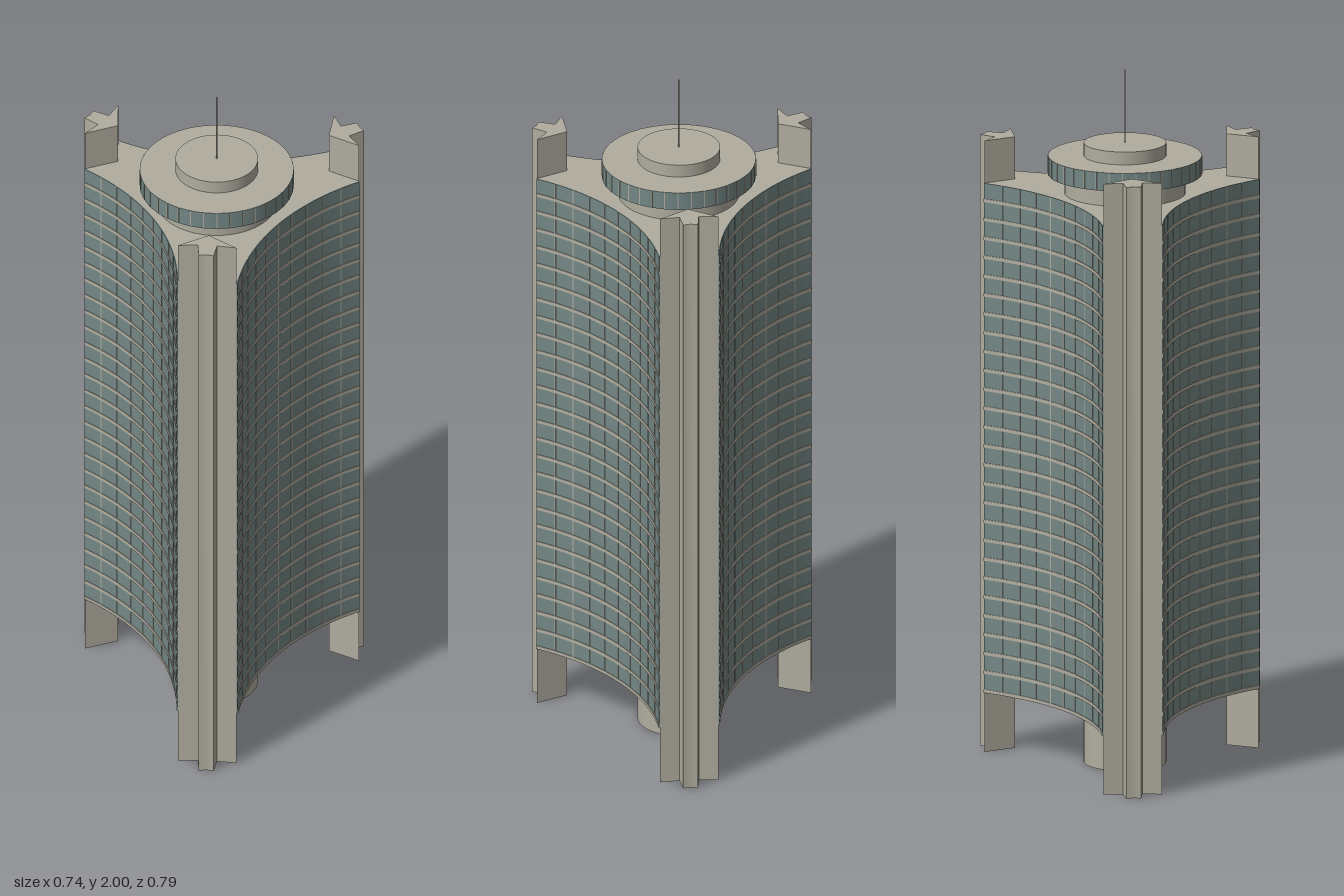
import * as THREE from 'three';
import { toCreasedNormals } from 'three/addons/utils/BufferGeometryUtils.js';

const stone = new THREE.MeshStandardMaterial({ color: 0xb0ad9f });
stone.name = 'warm stone';
const glass = new THREE.MeshStandardMaterial({ color: 0x738785 });
glass.name = 'blue grey glass';

const BASE = 0.172, ROOF = 1.645, FLOORS = 27, BAYS = 10;
const FIRST = THREE.MathUtils.degToRad(54.67), THIRD = Math.PI * 2 / 3;

// Concave facade arc: half chord, sagitta and chord distance give its circle
const HALF = 0.3037, SAG = 0.07, CHORD = 0.27;
const R = (HALF * HALF + SAG * SAG) / (2 * SAG);
const ARC_U = CHORD - SAG + R;
const T = Math.asin(HALF / R);

// Points are [outward, sideways] and turn about the tower axis
const turn = ([u, v], a) => [u * Math.cos(a) - v * Math.sin(a), u * Math.sin(a) + v * Math.cos(a)];

function arc(t0, t1, r, n) {
  const pts = [];
  for (let i = 0; i <= n; i++) {
    const t = t0 + (t1 - t0) * i / n;
    pts.push([ARC_U - r * Math.cos(t), r * Math.sin(t)]);
  }
  return pts;
}

// Upright prism over a plan outline in x and z
function prism(pts, y0, y1) {
  const shape = new THREE.Shape(pts.map(p => new THREE.Vector2(p[0], p[1])));
  const geo = new THREE.ExtrudeGeometry(shape, { depth: y1 - y0, bevelEnabled: false });
  geo.rotateX(Math.PI / 2).translate(0, y1, 0);
  return toCreasedNormals(geo, 0.4);
}

// Thin curved plate lying on the facade arc
function plate(t0, t1, thick, y0, y1, n) {
  return prism([...arc(t0, t1, R, n), ...arc(t0, t1, R - thick, n).reverse()], y0, y1);
}

function add(parent, name, geo, mat) {
  const m = new THREE.Mesh(geo, mat);
  m.name = name;
  parent.add(m);
  return m;
}

function disc(parent, name, r, y0, y1, mat = stone) {
  add(parent, name, new THREE.CylinderGeometry(r, r, y1 - y0, 64), mat).position.y = (y0 + y1) / 2;
}

export function createModel() {
  const model = new THREE.Group();
  model.name = 'tower';
  model.position.set(0.072, 0, 0.0165);

  // Three-armed body
  const outline = [];
  for (let k = 0; k < 3; k++) {
    const a = FIRST + k * THIRD;
    outline.push(turn([0.343, 0], a));
    outline.push(...arc(-T, T, R, 32).map(p => turn(p, a + THIRD / 2)));
  }
  add(model, 'body', prism(outline, BASE, ROOF), stone);

  // Shared geometry for the three sides
  const fin = prism([[0.343, 0], [0.398, -0.082], [0.393, -0.027], [0.442, -0.021],
    [0.438, 0], [0.442, 0.021], [0.393, 0.027], [0.398, 0.082]], 0, 1.767);
  const pane = plate(-T, T, 0.003, BASE, ROOF, 32);
  const floorHeight = (ROOF - BASE) / FLOORS;
  const band = plate(-T, T, 0.005, 0, 0.01, 32);
  const dt = 0.0016 / R;

  for (let k = 0; k < 3; k++) {
    const a = FIRST + k * THIRD;
    add(model, 'cornerFin', fin, stone).rotation.y = -a;

    const facade = new THREE.Group();
    facade.name = 'facade';
    facade.rotation.y = -(a + THIRD / 2);
    add(facade, 'glazing', pane, glass);
    for (let i = 0; i < FLOORS; i++) {
      add(facade, 'floorBand', band, stone).position.y = BASE + i * floorHeight;
    }
    for (let i = 1; i < BAYS; i++) {
      const t = -T + 2 * T * i / BAYS;
      add(facade, 'mullion', plate(t - dt, t + dt, 0.0045, BASE, ROOF, 1), stone);
    }
    model.add(facade);
  }

  // Round core, rooftop lounge and mast
  const core = new THREE.Group();
  core.name = 'core';
  core.position.set(-0.005, 0, 0.002);
  disc(core, 'baseColumn', 0.116, 0, BASE);
  disc(core, 'roofCollar', 0.17, ROOF, 1.7);
  disc(core, 'roofRing', 0.216, 1.7, 1.753, [glass, stone, stone]);
  disc(core, 'roofCap', 0.116, 1.753, 1.79);
  disc(core, 'mast', 0.002, 1.79, 2);
  for (let i = 0; i < 36; i++) {
    const a = i * Math.PI / 18;
    const m = add(core, 'ringMullion', new THREE.BoxGeometry(0.003, 0.052, 0.003), stone);
    m.position.set(0.216 * Math.cos(a), 1.7265, 0.216 * Math.sin(a));
    m.rotation.y = -a;
  }
  model.add(core);

  const group = new THREE.Group();
  group.add(model);
  return group;
}
